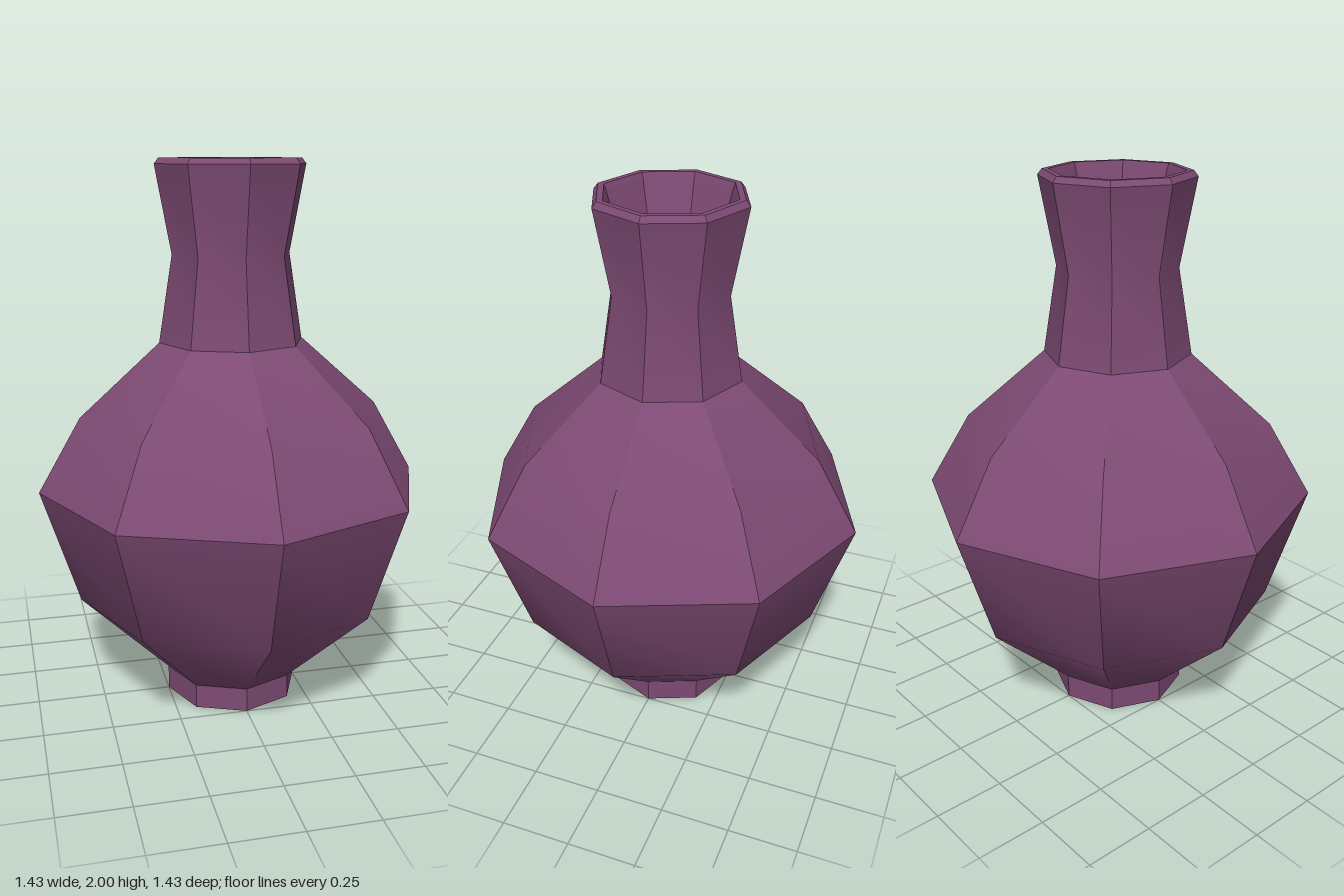
import * as THREE from 'three';
import { toCreasedNormals } from 'three/addons/utils/BufferGeometryUtils.js';

const SIDES = 8;
const CREASE = THREE.MathUtils.degToRad(30);

export function createModel() {
  const group = new THREE.Group();
  group.name = 'vase';
  const glaze = new THREE.MeshStandardMaterial({ color: 0x7d4a73 });

  // Turns a [radius, height] profile into an eight-sided part
  const addTurned = (name, profile) => {
    const points = profile.map(([r, y]) => new THREE.Vector2(r, y));
    const geometry = toCreasedNormals(new THREE.LatheGeometry(points, SIDES), CREASE);
    const mesh = new THREE.Mesh(geometry, glaze);
    mesh.name = name;
    group.add(mesh);
  };

  // Closed base and short upright foot
  addTurned('foot', [[0, 0], [0.25, 0], [0.25, 0.09]]);

  // Wide belly with sloping shoulder
  addTurned('body', [[0.25, 0.09], [0.575, 0.4], [0.713, 0.83], [0.557, 1.1], [0.265, 1.36]]);

  // Waisted neck
  addTurned('neck', [[0.265, 1.36], [0.215, 1.67], [0.273, 1.98]]);

  // Bevelled lip
  addTurned('rim', [[0.273, 1.98], [0.257, 2], [0.235, 2], [0.228, 1.98]]);

  // Hollow tapering to a point inside the neck
  addTurned('hollow', [[0.228, 1.98], [0, 1.2]]);

  return group;
}
